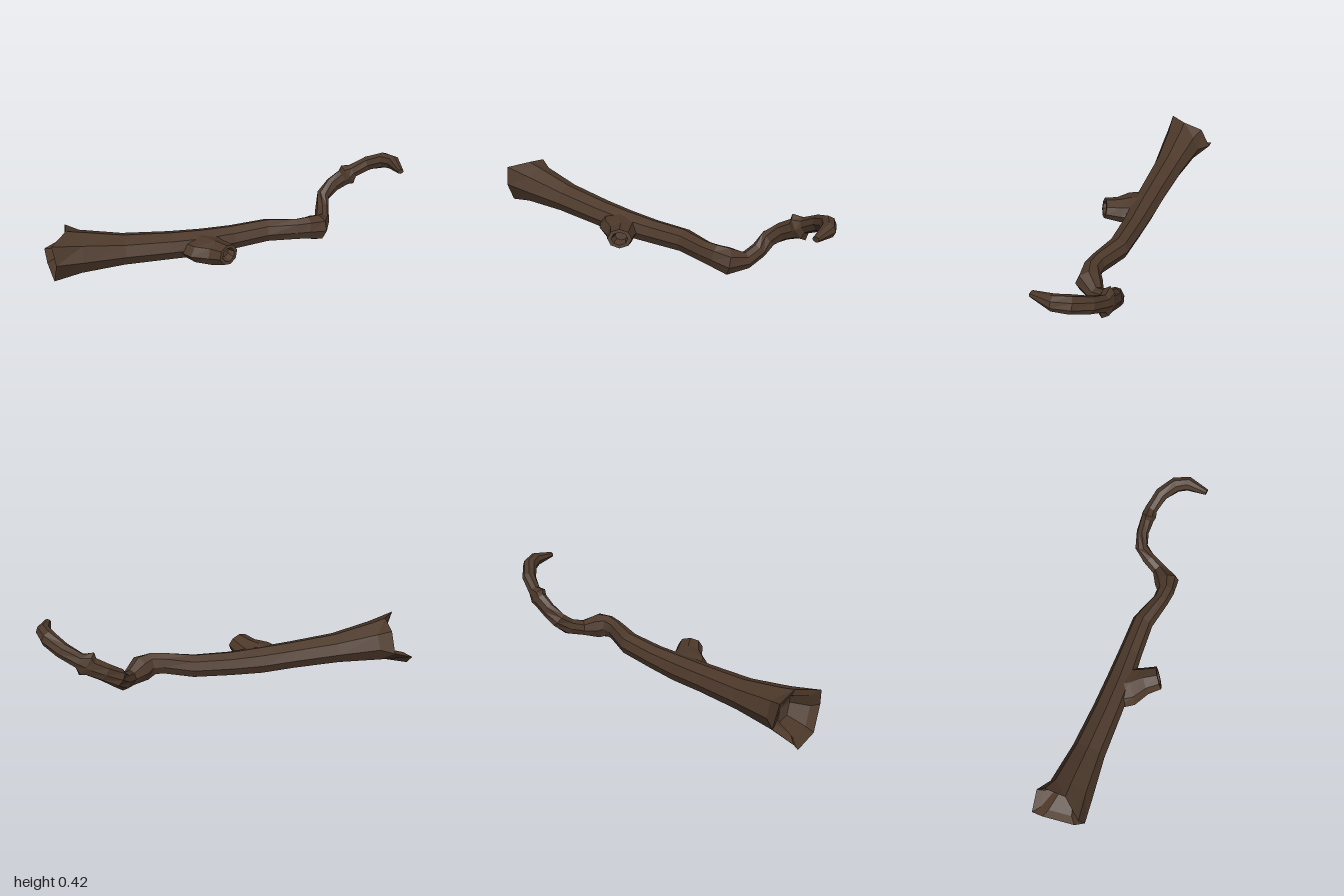
import * as THREE from 'three';

const SIDES = 8;
const V = (x, y, z) => new THREE.Vector3(x, y, z);

// Octagonal rings along a path of [x, y, z, vertical radius, sideways radius]
function ringsAlong(path) {
  const pts = path.map(p => V(p[0], p[1], p[2]));
  return path.map(([, , , rv, rh], i) => {
    const t = pts[Math.min(i + 1, pts.length - 1)].clone().sub(pts[Math.max(i - 1, 0)]).normalize();
    const side = t.clone().cross(V(0, 1, 0)).normalize();
    const up = side.clone().cross(t);
    return Array.from({ length: SIDES }, (_, k) => {
      const a = (k + 1) * Math.PI * 2 / SIDES;
      return pts[i].clone().addScaledVector(side, Math.cos(a) * rh).addScaledVector(up, Math.sin(a) * rv);
    });
  });
}

const centreOf = ring => ring.reduce((s, p) => s.add(p), V(0, 0, 0)).divideScalar(ring.length);

// Copy of a ring, shrunk about its centre and shifted
function inset(ring, scale, shift) {
  const c = centreOf(ring);
  return ring.map(p => p.clone().sub(c).multiplyScalar(scale).add(c).add(shift));
}

// Skin a list of rings and close both ends
function loft(rings) {
  const out = [];
  const tri = (...ps) => ps.forEach(p => out.push(p.x, p.y, p.z));
  const first = rings[0], last = rings[rings.length - 1];
  const c0 = centreOf(first), c1 = centreOf(last);
  for (let k = 0; k < SIDES; k++) {
    const n = (k + 1) % SIDES;
    for (let i = 0; i < rings.length - 1; i++) {
      const a = rings[i][k], b = rings[i][n], c = rings[i + 1][n], d = rings[i + 1][k];
      tri(a, d, c);
      tri(a, c, b);
    }
    tri(c0, first[k], first[n]);
    tri(c1, last[n], last[k]);
  }
  const g = new THREE.BufferGeometry();
  g.setAttribute('position', new THREE.Float32BufferAttribute(out, 3));
  g.computeVertexNormals();
  return g;
}

export function createModel() {
  const group = new THREE.Group();
  group.name = 'fallenBranch';
  const bark = new THREE.MeshStandardMaterial({ color: 0x4d392b, flatShading: true });
  bark.name = 'bark';
  const add = (name, rings) => {
    const mesh = new THREE.Mesh(loft(rings), bark);
    mesh.name = name;
    group.add(mesh);
  };

  // Slanted broken rim at the thick end, with a hollow sunk into it
  const rim = [
    V(-0.96, 0.27, 0.135), V(-0.88, 0.285, 0.03), V(-0.88, 0.26, -0.085), V(-0.89, 0.15, -0.14),
    V(-1.0, 0.11, -0.12), V(-0.995, 0.05, -0.07), V(-0.97, 0.042, 0.1), V(-0.95, 0.17, 0.16),
  ];
  const hollow = [inset(rim, 0.45, V(0.11, 0, 0)), inset(rim, 0.72, V(0.025, 0, 0)), rim];

  // Trunk, elbow and the thin limb up to the collar and the hooked tip
  const limb = ringsAlong([
    [-0.82, 0.153, 0.025, 0.112, 0.118],
    [-0.6, 0.127, 0.022, 0.083, 0.09],
    [-0.35, 0.105, 0.02, 0.075, 0.08],
    [-0.17, 0.09, 0.015, 0.075, 0.075],
    [0, 0.088, 0.005, 0.068, 0.065],
    [0.2, 0.095, -0.002, 0.065, 0.06],
    [0.36, 0.1, 0.042, 0.064, 0.046],
    [0.42, 0.1, 0.046, 0.068, 0.05],
    [0.485, 0.085, 0.03, 0.075, 0.07],
    [0.55, 0.075, -0.045, 0.047, 0.042],
    [0.58, 0.105, -0.125, 0.048, 0.038],
    [0.605, 0.16, -0.18, 0.05, 0.037],
    [0.67, 0.212, -0.2, 0.05, 0.035],
    [0.735, 0.25, -0.2, 0.055, 0.038],
    [0.757, 0.267, -0.197, 0.076, 0.042],
    [0.79, 0.288, -0.197, 0.043, 0.036],
    [0.87, 0.34, -0.17, 0.042, 0.04],
    [0.935, 0.378, -0.11, 0.045, 0.042],
    [0.962, 0.388, -0.045, 0.04, 0.038],
    [0.95, 0.388, 0.067, 0.014, 0.018],
  ]);
  add('branch', [...hollow, ...limb]);

  // Snapped side stub with a hollow end
  const stub = ringsAlong([
    [-0.22, 0.088, 0.0, 0.06, 0.12],
    [-0.175, 0.09, 0.08, 0.068, 0.11],
    [-0.12, 0.092, 0.14, 0.068, 0.078],
    [-0.077, 0.112, 0.208, 0.053, 0.066],
  ]);
  const end = stub[stub.length - 1];
  stub.push(inset(end, 0.68, V(0, 0, 0)), inset(end, 0.5, V(-0.015, 0, -0.035)));
  add('sideStub', stub);

  return group;
}
